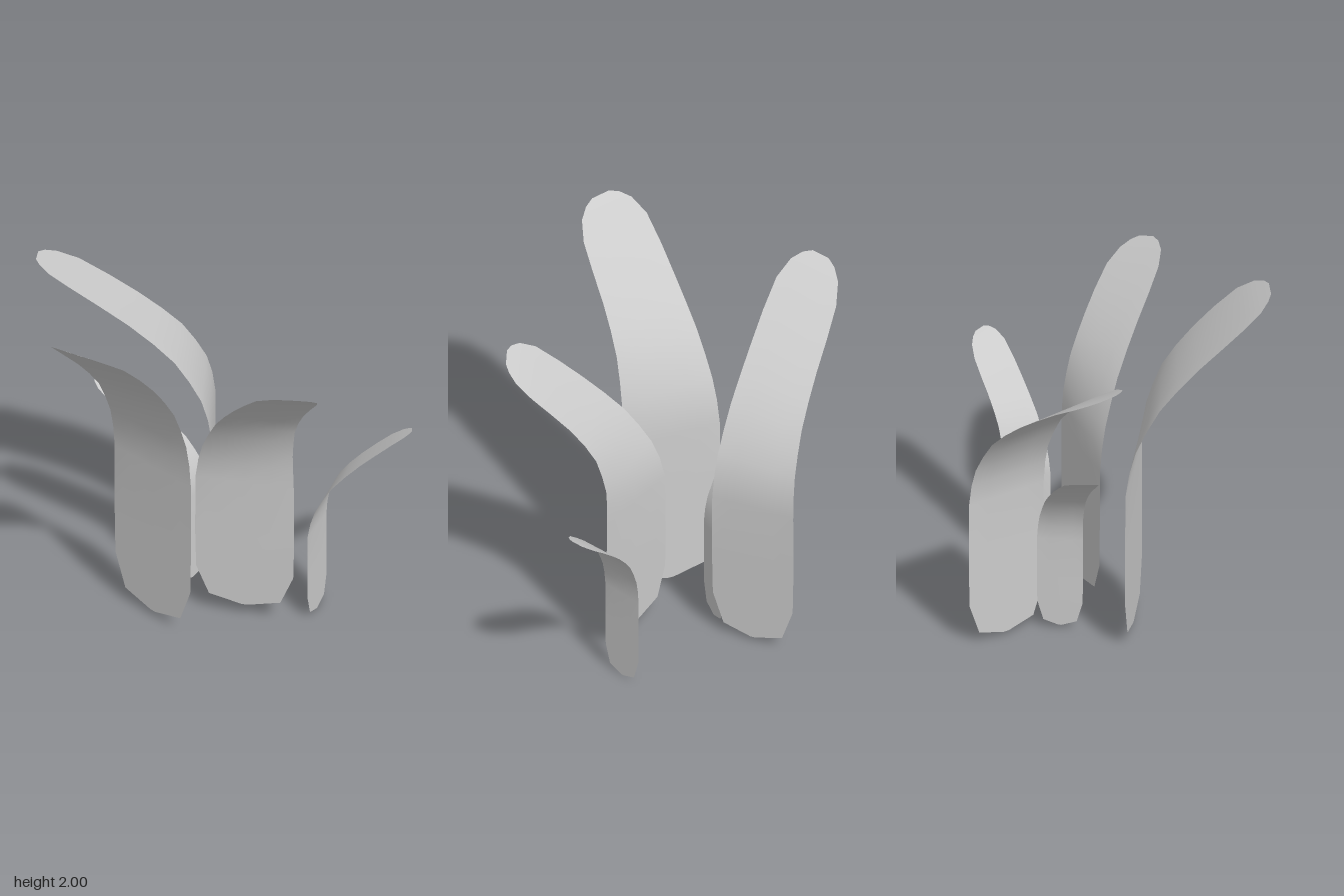
import * as THREE from 'three';

// Shared leaf shape, rows of [height fraction, outward bend, width fraction]
const ROWS = [
  [0, 0, 0.06], [0.024, 0, 0.72], [0.12, 0, 0.98], [0.25, 0, 1], [0.45, 0, 1],
  [0.52, 0.02, 1], [0.58, 0.055, 1], [0.64, 0.12, 1], [0.7, 0.2, 1], [0.76, 0.32, 1],
  [0.82, 0.46, 1], [0.88, 0.62, 1], [0.94, 0.79, 0.95], [0.975, 0.91, 0.75],
  [0.992, 0.97, 0.5], [1, 1, 0.25],
];
const COLUMNS = 4;

// base and tip: ends of the centre line; baseHalf and tipHalf: half-width vectors there
const LEAVES = [
  { name: 'tallRightLeaf', base: [-0.19, 0.03, -0.03], baseHalf: [0.03, 0, 0.27],
    tip: [-0.86, 2.0, 0.14], tipHalf: [0.08, 0, 0.2] },
  { name: 'tallBackLeaf', base: [0.41, 0.02, -0.28], baseHalf: [0.15, 0, -0.17],
    tip: [-0.28, 1.82, -0.85], tipHalf: [0.135, -0.03, -0.125] },
  { name: 'tallFrontLeaf', base: [0.17, 0.07, 0.265], baseHalf: [0.157, 0, 0.205],
    tip: [0.0, 1.74, 0.9], tipHalf: [0.16, -0.05, 0.06] },
  { name: 'smallFrontLeaf', base: [0.5, 0.0, 0.44], baseHalf: [0.108, 0, -0.055],
    tip: [0.845, 1.13, 0.78], tipHalf: [0.062, -0.03, -0.075] },
  { name: 'smallBackLeaf', base: [0.165, 0.02, -0.147], baseHalf: [0.117, 0, -0.016],
    tip: [-0.1, 1.14, -0.59], tipHalf: [0.088, 0, -0.025] },
];

// Lofts a thin sheet along the bent centre line
function leafGeometry({ base, tip, baseHalf, tipHalf }) {
  const b = new THREE.Vector3(...base), t = new THREE.Vector3(...tip);
  const bh = new THREE.Vector3(...baseHalf), th = new THREE.Vector3(...tipHalf);
  const positions = [], index = [];
  ROWS.forEach(([height, bend, width], r) => {
    const centre = new THREE.Vector3(
      THREE.MathUtils.lerp(b.x, t.x, bend),
      THREE.MathUtils.lerp(b.y, t.y, height),
      THREE.MathUtils.lerp(b.z, t.z, bend));
    const half = bh.clone().lerp(th, THREE.MathUtils.smoothstep(height, 0.4, 0.95));
    for (let c = 0; c <= COLUMNS; c++) {
      const across = (2 * c / COLUMNS - 1) * width;
      positions.push(...centre.clone().addScaledVector(half, across).toArray());
      if (r > 0 && c > 0) {
        const i = r * (COLUMNS + 1) + c, below = i - COLUMNS - 1;
        index.push(below - 1, below, i, below - 1, i, i - 1);
      }
    }
  });
  const geometry = new THREE.BufferGeometry();
  geometry.setAttribute('position', new THREE.Float32BufferAttribute(positions, 3));
  geometry.setIndex(index);
  geometry.computeVertexNormals();
  return geometry;
}

export function createModel() {
  const group = new THREE.Group();
  group.name = 'leafCluster';
  const material = new THREE.MeshStandardMaterial({ color: 0xcccccc, side: THREE.DoubleSide });
  for (const leaf of LEAVES) {
    const mesh = new THREE.Mesh(leafGeometry(leaf), material);
    mesh.name = leaf.name;
    group.add(mesh);
  }
  return group;
}
